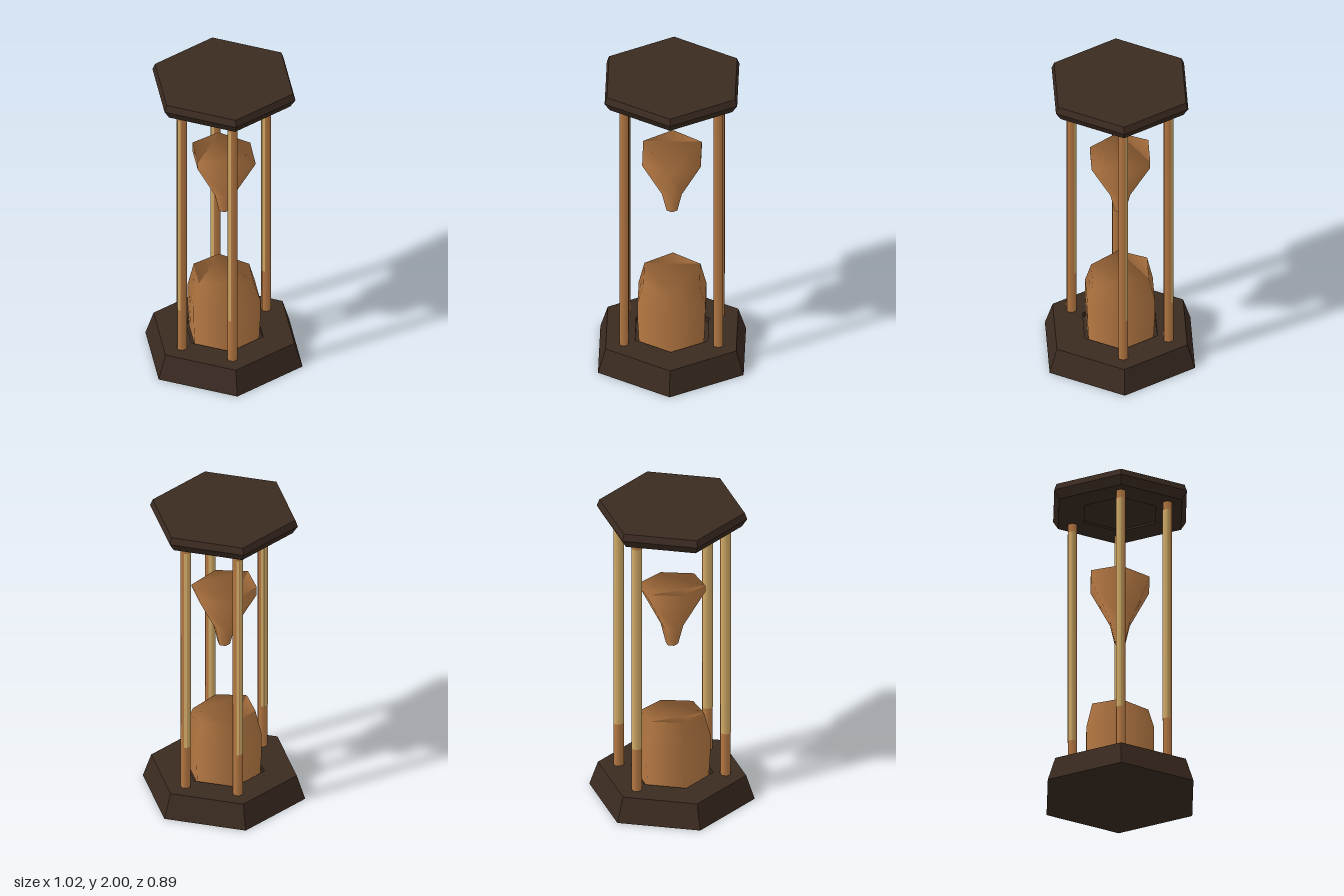
import * as THREE from 'three';

const SIDES = 6;
const TURN = Math.PI / 6; // puts hexagon corners on the x axis

const darkWood = new THREE.MeshStandardMaterial({ color: 0x3b2b21 });
darkWood.name = 'dark wood';
const copper = new THREE.MeshStandardMaterial({ color: 0xb87a44 });
copper.name = 'copper brown';
const gold = new THREE.MeshStandardMaterial({ color: 0xd4ad68, side: THREE.DoubleSide });
gold.name = 'pale gold';

function mesh(name, geometry, material) {
  const m = new THREE.Mesh(geometry, material);
  m.name = name;
  return m;
}

function hexLathe(profile) {
  const points = profile.map(([r, y]) => new THREE.Vector2(r, y));
  return new THREE.LatheGeometry(points, SIDES, TURN);
}

// Hexagonal plate with hard edges
function plate(name, profile) {
  const g = hexLathe(profile).toNonIndexed();
  g.computeVertexNormals();
  return mesh(name, g, darkWood);
}

// Flat hexagon facing up, without a centre vertex
function hexagon(r) {
  const corners = [];
  for (let i = 0; i < SIDES; i++) {
    const a = (i / SIDES) * Math.PI * 2;
    corners.push(new THREE.Vector2(r * Math.cos(a), r * Math.sin(a)));
  }
  return new THREE.ShapeGeometry(new THREE.Shape(corners)).rotateX(-Math.PI / 2);
}

// Smooth shading that runs from the wall over the rim: normals point outward
function radialNormals(g) {
  const p = g.attributes.position;
  for (let i = 0; i < p.count; i++) {
    const n = new THREE.Vector3(p.getX(i), 0, p.getZ(i)).normalize();
    g.attributes.normal.setXYZ(i, n.x, n.y, n.z);
  }
}

// Six-sided body of sand whose top is cut at a slant
function sand(name, profile) {
  const group = new THREE.Group();
  group.name = name;
  const [topR, topY] = profile[profile.length - 1];
  const [bottomR, bottomY] = profile[0];

  const side = hexLathe(profile);
  const top = hexagon(topR).translate(0, topY, 0);
  for (const g of [side, top]) {
    const p = g.attributes.position;
    for (let i = 0; i < p.count; i++) {
      if (Math.abs(p.getY(i) - topY) < 1e-4) p.setY(i, topY - 0.13 * p.getX(i));
    }
    radialNormals(g);
  }
  const bottom = hexagon(bottomR).rotateX(Math.PI).translate(0, bottomY, 0);

  group.add(mesh(name + 'Side', side, copper));
  group.add(mesh(name + 'Top', top, copper));
  group.add(mesh(name + 'Bottom', bottom, copper));
  return group;
}

// Six-sided post, gilded on the half that faces -x
function post(x, z) {
  const group = new THREE.Group();
  group.name = 'post';
  const r = 0.0325;
  const height = 1.4;
  const lift = 0.12;
  const body = new THREE.CylinderGeometry(r, r, 1.77, SIDES, 1, false, TURN);
  group.add(mesh('postBody', body, copper));

  const skin = new THREE.CylinderGeometry(
    r + 0.001, r + 0.001, height, 2, 1, true, TURN * 7, TURN * 4
  );
  skin.translate(0, lift, 0);
  group.add(mesh('gildedSide', skin, gold));
  for (const s of [-1, 1]) {
    const strip = new THREE.PlaneGeometry(r * 0.56, height);
    if (s < 0) strip.rotateY(Math.PI);
    strip.translate(-r * 0.22, lift, s * (r * Math.cos(TURN) + 0.001));
    group.add(mesh('gildedStrip', strip, gold));
  }
  group.position.set(x, 1.03, z);
  return group;
}

export function createModel() {
  const model = new THREE.Group();
  model.name = 'hourglass';

  // End plates, each with a shallow hexagonal seat
  model.add(plate('base', [
    [0, 0], [0.512, 0], [0.459, 0.158], [0.255, 0.158], [0.255, 0.125], [0, 0.125],
  ]));
  model.add(plate('cap', [
    [0, 1.915], [0.25, 1.915], [0.25, 1.903], [0.432, 1.903],
    [0.466, 1.957], [0.45, 2], [0, 2],
  ]));

  // Sand heap and the funnel of sand above it
  model.add(sand('lowerSand', [
    [0.228, 0.126], [0.237, 0.28], [0.238, 0.42], [0.197, 0.56],
  ]));
  model.add(sand('upperSand', [
    [0.038, 1.04], [0.07, 1.17], [0.206, 1.42], [0.206, 1.452],
  ]));

  // Four posts
  for (const sx of [-1, 1]) {
    for (const sz of [-1, 1]) model.add(post(sx * 0.165, sz * 0.287));
  }
  return model;
}
